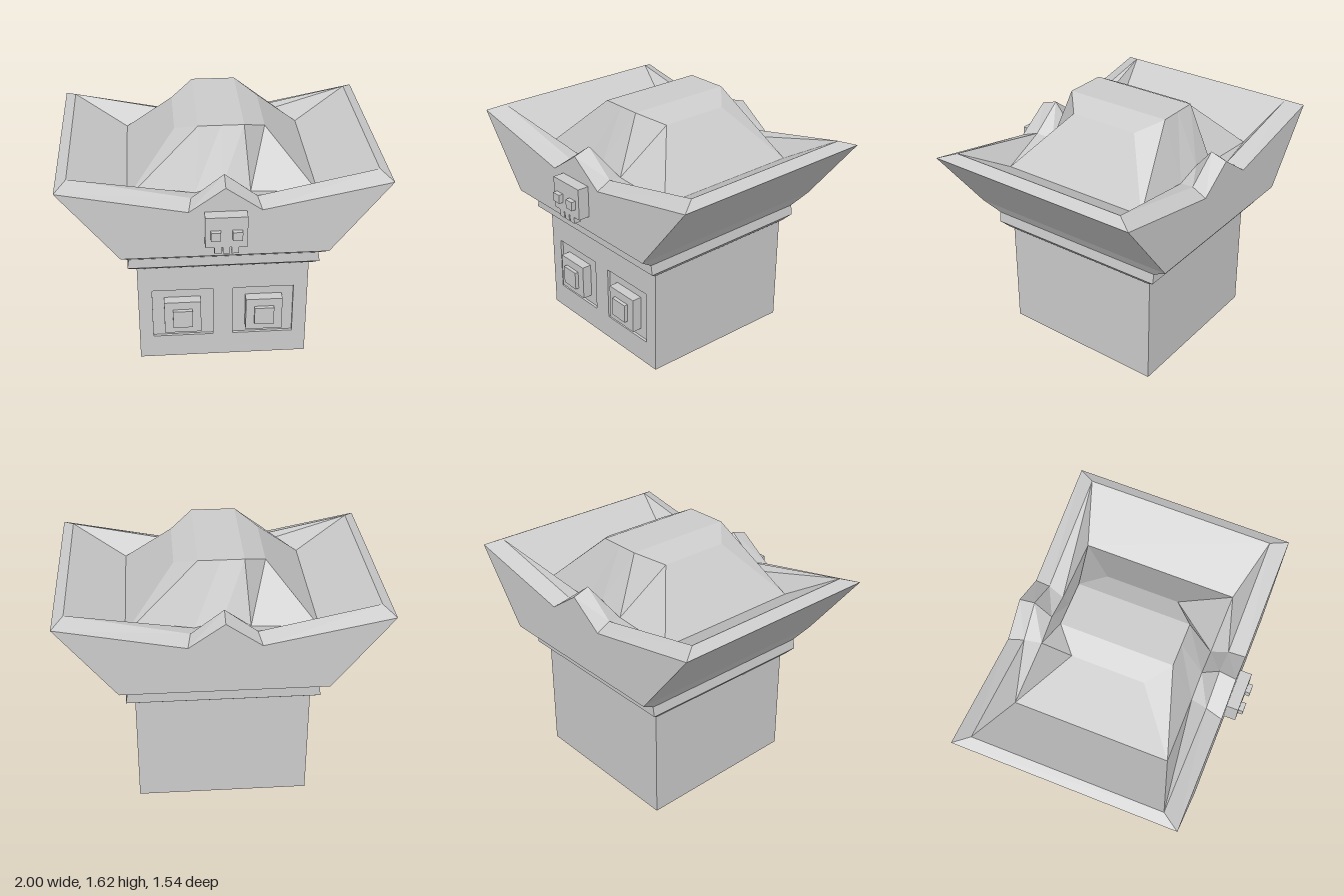
import * as THREE from 'three';

const material = new THREE.MeshStandardMaterial({ color: 0xcccccc, flatShading: true });

function addMesh(parent, name, geometry) {
  const mesh = new THREE.Mesh(geometry, material);
  mesh.name = name;
  parent.add(mesh);
  return mesh;
}

// Box given by its limits on each axis
function addBox(parent, name, [x0, x1], [y0, y1], [z0, z1]) {
  const mesh = addMesh(parent, name, new THREE.BoxGeometry(x1 - x0, y1 - y0, z1 - z0));
  mesh.position.set((x0 + x1) / 2, (y0 + y1) / 2, (z0 + z1) / 2);
  return mesh;
}

function polygon(points, Type = THREE.Shape) {
  return new Type(points.map(p => new THREE.Vector2(...p)));
}

function rectangle(x0, x1, y0, y1, Type) {
  return polygon([[x0, y0], [x1, y0], [x1, y1], [x0, y1]], Type);
}

// Ten-point ring: corner, notch and centre points, repeated front and back.
// y holds the heights of [corner, notch, centre]; inset pulls the corners in z.
function ring(x, notch, front, back, y, inset = 0) {
  const xs = [-x, -notch, 0, notch, x];
  const ys = [y[0], y[1], y[2], y[1], y[0]];
  const side = (z, pull) => xs.map((v, i) => [v, ys[i], i % 4 === 0 ? z + pull : z]);
  return [...side(front, -inset), ...side(back, inset).reverse()];
}

function flat(h) {
  return [h, h, h];
}

function hatGeometry() {
  const rings = [
    ring(0.565, 0.22, 0.51, -0.605, flat(0.74)),            // band underside
    ring(0.60, 0.22, 0.56, -0.66, flat(0.78)),
    ring(0.59, 0.22, 0.56, -0.66, flat(0.845)),
    ring(0.635, 0.22, 0.665, -0.77, flat(0.92)),            // brim foot
    ring(1.0, 0.22, 0.665, -0.77, [1.385, 1.23, 1.385]),    // outer rim
    ring(0.93, 0.20, 0.555, -0.665, [1.42, 1.265, 1.42]),   // inner rim
    ring(0.585, 0.17, 0.45, -0.56, [1.215, 1.24, 1.29]),    // crown foot
    ring(0.28, 0.14, 0.30, -0.415, [1.545, 1.615, 1.615], 0.127), // crown top
  ];
  const positions = [];
  const quad = (a, b, c, d) => positions.push(...a, ...b, ...c, ...a, ...c, ...d);
  for (let k = 0; k < rings.length - 1; k++) {
    const lower = rings[k], upper = rings[k + 1];
    for (let i = 0; i < 10; i++) {
      const j = (i + 1) % 10;
      quad(lower[i], lower[j], upper[j], upper[i]);
    }
  }
  // Crown top with its two sloping sides, and the closed underside
  const top = rings[rings.length - 1], base = rings[0];
  for (const face of [[0, 1, 8, 9], [1, 3, 6, 8], [3, 4, 5, 6]]) quad(...face.map(i => top[i]));
  quad(base[0], base[9], base[5], base[4]);
  const geometry = new THREE.BufferGeometry();
  geometry.setAttribute('position', new THREE.Float32BufferAttribute(positions, 3));
  geometry.computeVertexNormals();
  return geometry;
}

export function createModel() {
  const model = new THREE.Group();
  model.name = 'blockHeadWithHat';

  // Head: side profile with a slightly sloping underside, extruded across x
  const head = new THREE.Group();
  head.name = 'head';
  model.add(head);
  const profile = polygon([[-0.47, 0.025], [0.6, 0], [0.6, 0.75], [-0.47, 0.75]]);
  const block = new THREE.ExtrudeGeometry(profile, { depth: 1.09, bevelEnabled: false });
  block.rotateY(Math.PI / 2).translate(-0.545, 0, 0);
  addMesh(head, 'headBlock', block);

  // Face plate with two shallow square sockets
  const plate = rectangle(-0.545, 0.545, 0.025, 0.75);
  plate.holes.push(rectangle(0.065, 0.455, 0.19, 0.55, THREE.Path));
  plate.holes.push(rectangle(-0.455, -0.065, 0.19, 0.55, THREE.Path));
  const face = new THREE.ExtrudeGeometry(plate, { depth: 0.018, bevelEnabled: false });
  addMesh(head, 'facePlate', face.translate(0, 0, 0.47));

  // Stepped eyes
  for (const [side, x] of [['left', 0.2625], ['right', -0.2625]]) {
    addBox(head, side + 'Eye', [x - 0.118, x + 0.118], [0.25, 0.485], [0.46, 0.535]);
    addBox(head, side + 'Pupil', [x - 0.063, x + 0.063], [0.305, 0.43], [0.53, 0.56]);
  }

  // Hat: band, upturned brim and faceted crown
  const hat = new THREE.Group();
  hat.name = 'hat';
  model.add(hat);
  addMesh(hat, 'hatShell', hatGeometry());

  // Skull badge on the front of the brim
  const skull = new THREE.Group();
  skull.name = 'skullBadge';
  hat.add(skull);
  addBox(skull, 'skull', [-0.127, 0.127], [1.025, 1.23], [0.66, 0.74]);
  for (const s of [-1, 1]) {
    const x = s * 0.065;
    addBox(skull, 'skullEye', [x - 0.03, x + 0.03], [1.085, 1.143], [0.735, 0.77]);
  }
  for (const x of [-0.052, 0, 0.052]) {
    addBox(skull, 'tooth', [x - 0.021, x + 0.021], [0.98, 1.03], [0.69, 0.739]);
  }
  return model;
}
